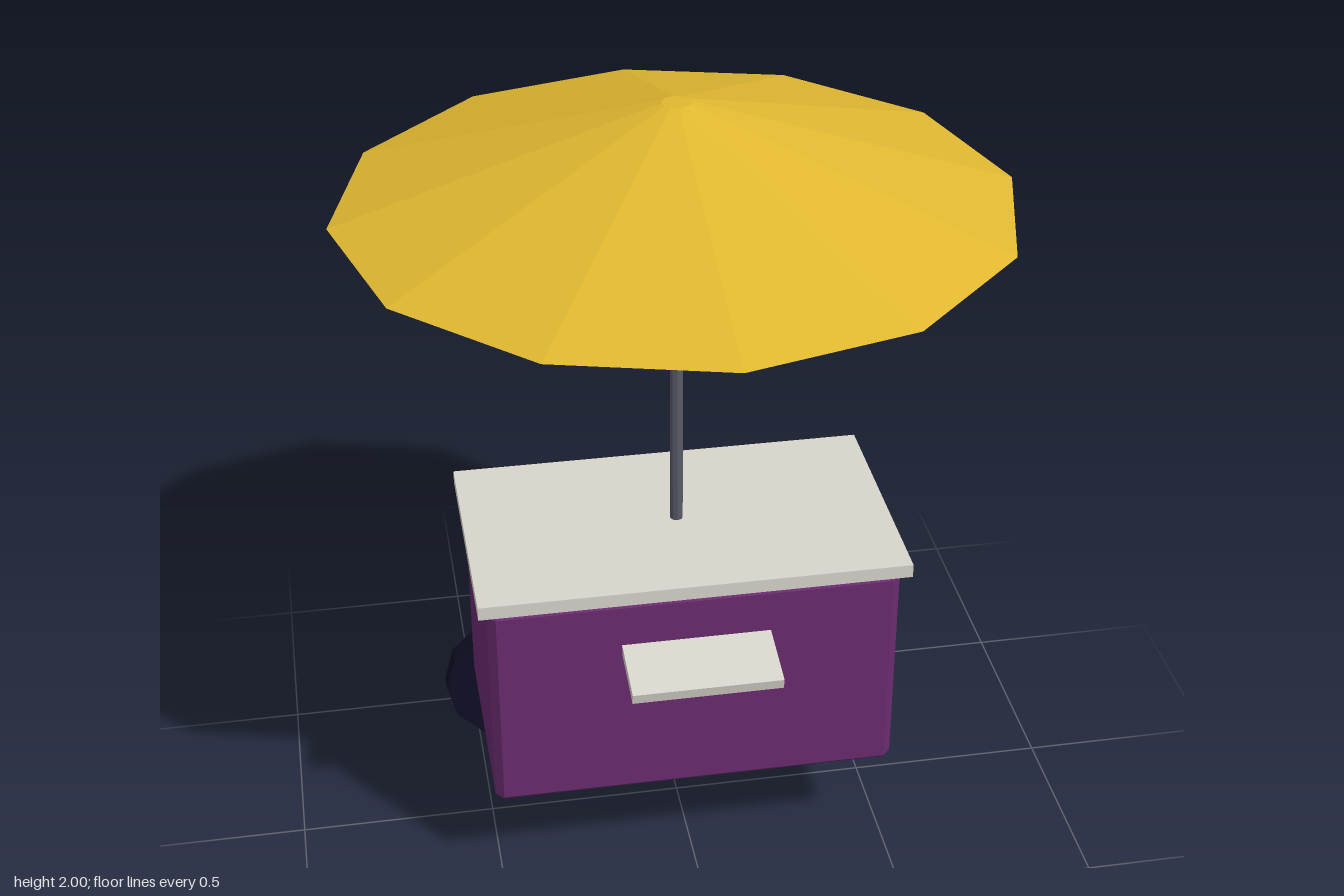
import * as THREE from 'three';
import { ConvexGeometry } from 'three/addons/geometries/ConvexGeometry.js';

function material(name, color) {
  const m = new THREE.MeshStandardMaterial({ color });
  m.name = name;
  m.flatShading = true;
  return m;
}

// Box with every edge cut at 45 degrees
function chamferedBox(w, h, d, c) {
  const points = [];
  for (const x of [-w / 2, w / 2])
    for (const y of [-h / 2, h / 2])
      for (const z of [-d / 2, d / 2]) {
        const cx = Math.sign(x) * c, cy = Math.sign(y) * c, cz = Math.sign(z) * c;
        points.push(
          new THREE.Vector3(x, y - cy, z - cz),
          new THREE.Vector3(x - cx, y, z - cz),
          new THREE.Vector3(x - cx, y - cy, z)
        );
      }
  return new ConvexGeometry(points);
}

export function createModel() {
  const purple = material('purple paint', 0x6a2c70);
  const cream = material('cream counter', 0xd8d4cc);
  const yellow = material('yellow canvas', 0xe0b830);
  const steel = material('dark steel', 0x585a66);
  const rubber = material('dark rubber', 0x0f0e24);

  const cart = new THREE.Group();
  cart.name = 'vendorCart';
  const add = (name, geometry, mat, x, y, z) => {
    const mesh = new THREE.Mesh(geometry, mat);
    mesh.name = name;
    mesh.position.set(x, y, z);
    cart.add(mesh);
    return mesh;
  };

  // Cart box and counter top
  add('body', chamferedBox(1.02, 0.585, 0.585, 0.02), purple, 0, 0.5525, 0);
  add('counter', new THREE.BoxGeometry(1.065, 0.035, 0.62), cream, 0, 0.8625, 0);

  // Sloping serving shelf on the front
  const shelf = add('shelf', new THREE.BoxGeometry(0.37, 0.028, 0.18), cream, 0, 0.688, 0.365);
  shelf.rotation.x = 0.19;

  // Twelve-sided wheels behind the cart
  const wheelGeometry = new THREE.CylinderGeometry(0.185, 0.185, 0.055, 12).rotateX(Math.PI / 2);
  for (const [name, side] of [['leftWheel', 1], ['rightWheel', -1]])
    add(name, wheelGeometry, rubber, side * 0.4, 0.185, -0.33);

  // Parasol
  add('pole', new THREE.CylinderGeometry(0.016, 0.016, 0.9, 8), steel, 0, 1.31, 0);
  add('canopy', new THREE.CylinderGeometry(0.035, 0.805, 0.25, 12), yellow, 0, 1.875, 0);

  return cart;
}
